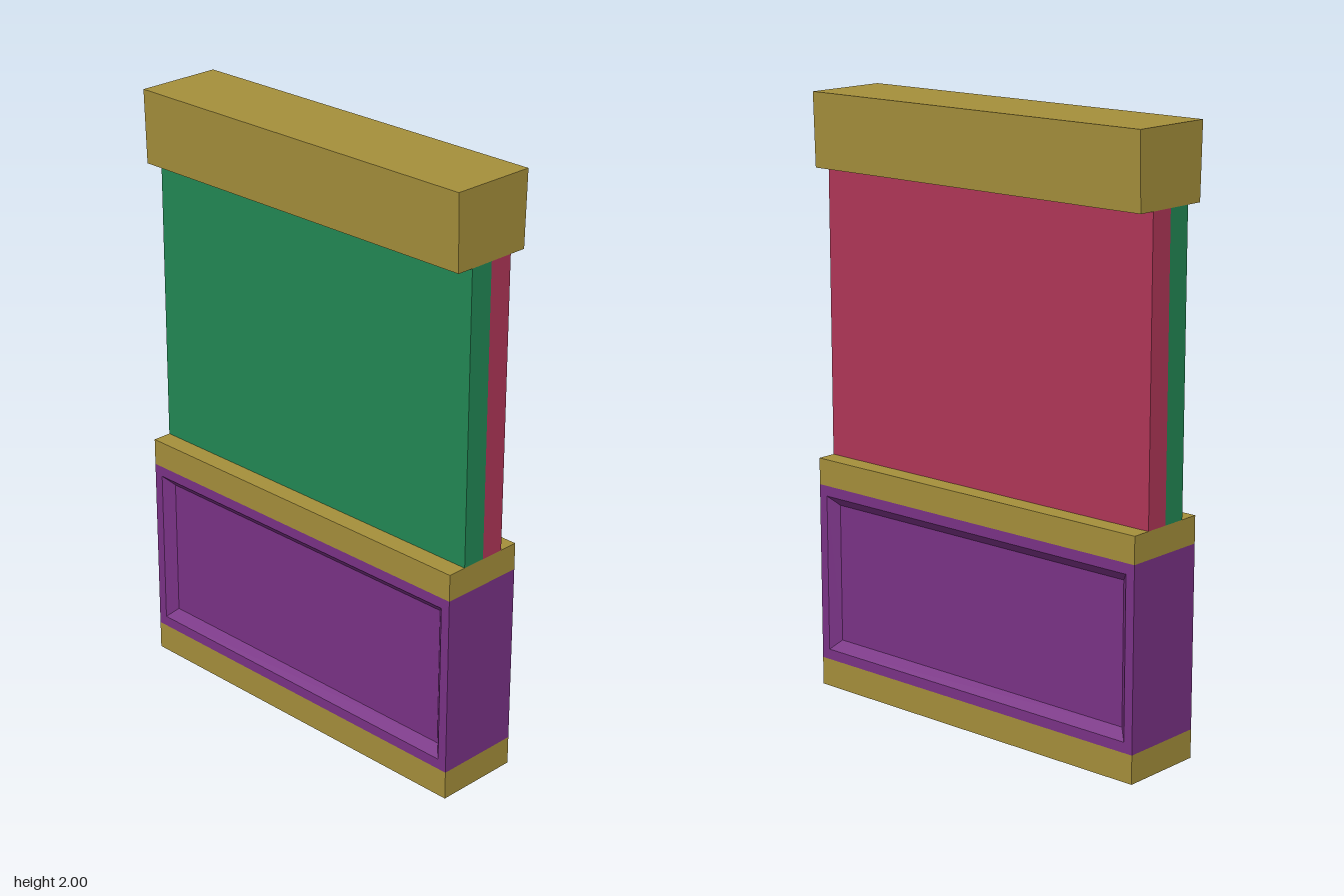
import * as THREE from 'three';

const HALF_W = 0.147, HALF_L = 0.667;
const material = (color) => new THREE.MeshStandardMaterial({ color, flatShading: true });
const gold = material(0xa58f3b), purple = material(0x7a3286);
const red = material(0xb03658), green = material(0x228855);

// Box given by its x range and y range, running the full length of the wall
function slab(name, x0, x1, y0, y1, mat) {
  const mesh = new THREE.Mesh(new THREE.BoxGeometry(x1 - x0, y1 - y0, 2 * HALF_L), mat);
  mesh.position.set((x0 + x1) / 2, (y0 + y1) / 2, 0);
  mesh.name = name;
  return mesh;
}

// Closed solid from rectangular rings [x, yLow, yHigh, halfLength] strung along x
function loft(rings) {
  const corners = rings.map(([x, y0, y1, z]) => [[x, y0, -z], [x, y1, -z], [x, y1, z], [x, y0, z]]);
  const pos = [];
  const quad = (a, b, c, d) => pos.push(...a, ...b, ...c, ...a, ...c, ...d);
  for (let i = 0; i < corners.length - 1; i++) {
    const p = corners[i], q = corners[i + 1];
    for (let j = 0; j < 4; j++) {
      const k = (j + 1) % 4;
      quad(p[j], p[k], q[k], q[j]);
    }
  }
  const first = corners[0], last = corners[corners.length - 1];
  quad(first[3], first[2], first[1], first[0]);
  quad(...last);
  const geometry = new THREE.BufferGeometry();
  geometry.setAttribute('position', new THREE.Float32BufferAttribute(pos, 3));
  geometry.computeVertexNormals();
  return geometry;
}

export function createModel() {
  const group = new THREE.Group();
  group.name = 'wallSection';

  // Base trim and chair rail
  group.add(slab('baseTrim', -HALF_W, HALF_W, 0, 0.095, gold));
  group.add(slab('middleRail', -HALF_W, HALF_W, 0.7, 0.79, gold));

  // Wainscot with a bevelled recess on both broad sides
  const half = [
    [HALF_W, 0.095, 0.7, HALF_L],
    [HALF_W, 0.13, 0.665, 0.635],
    [HALF_W - 0.03, 0.162, 0.633, 0.603],
  ];
  const mirrored = half.map(([x, ...rest]) => [-x, ...rest]).reverse();
  const wainscot = new THREE.Mesh(loft([...mirrored, ...half]), purple);
  wainscot.name = 'wainscot';
  group.add(wainscot);

  // Upper wall, one colour on each side
  group.add(slab('leftWall', 0, 0.082, 0.79, 1.755, red));
  group.add(slab('rightWall', -0.082, 0, 0.79, 1.755, green));

  // Top beam, slightly narrower at its underside
  const profile = new THREE.Shape([
    new THREE.Vector2(-0.14, 1.755), new THREE.Vector2(0.14, 1.755),
    new THREE.Vector2(HALF_W, 2), new THREE.Vector2(-HALF_W, 2),
  ]);
  const beam = new THREE.Mesh(
    new THREE.ExtrudeGeometry(profile, { depth: 2 * HALF_L, bevelEnabled: false }), gold);
  beam.position.z = -HALF_L;
  beam.name = 'topBeam';
  group.add(beam);

  return group;
}
